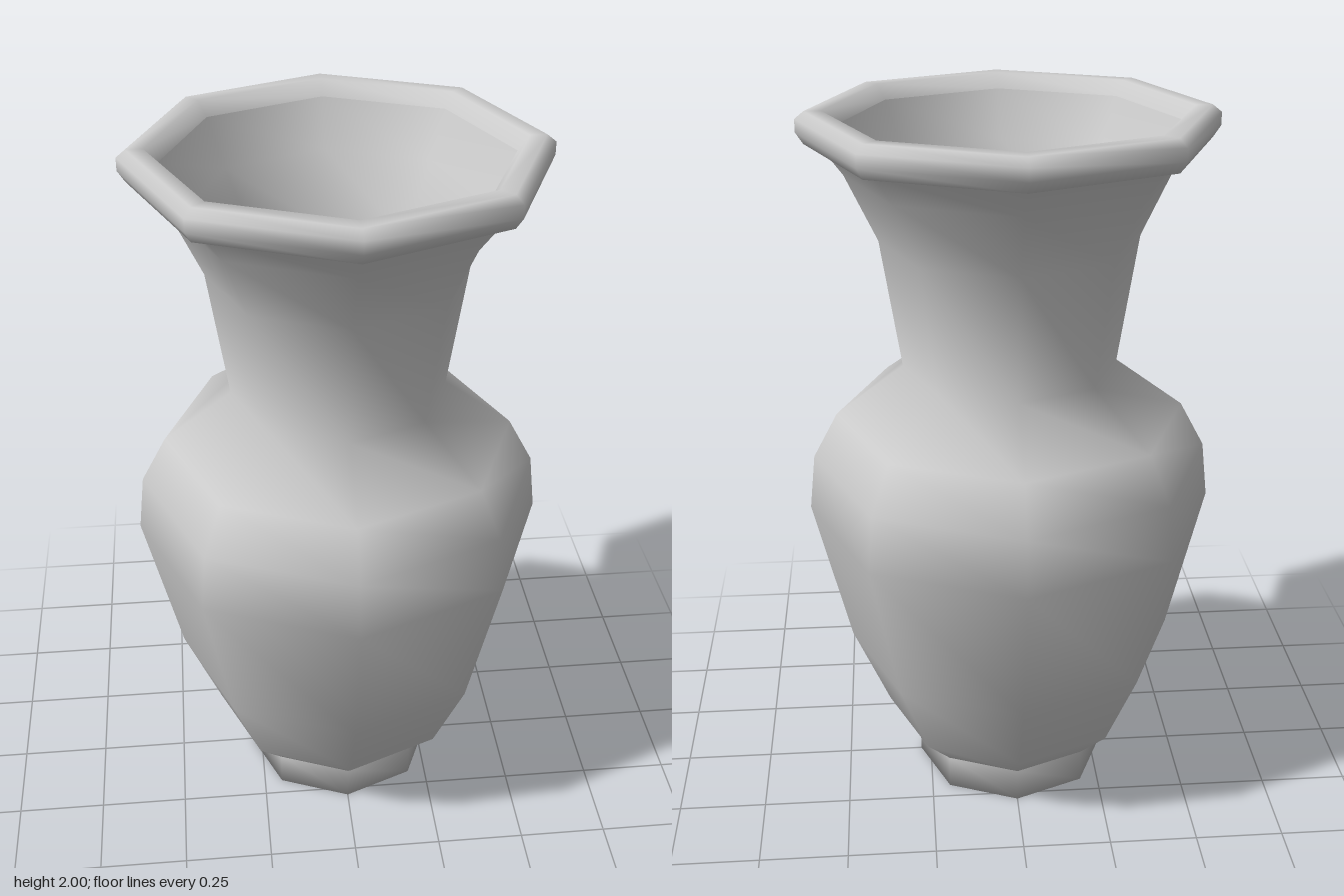
import * as THREE from 'three';

const SIDES = 8;

export function createModel() {
  const group = new THREE.Group();
  group.name = 'vase';
  const clay = new THREE.MeshStandardMaterial({ color: 0xcccccc });
  clay.name = 'grey clay';

  // Revolves a [radius, height] profile into an eight-sided, smoothly shaded part
  const turn = (name, profile) => {
    const points = profile.map(([r, y]) => new THREE.Vector2(r, y));
    const mesh = new THREE.Mesh(new THREE.LatheGeometry(points, SIDES), clay);
    mesh.name = name;
    group.add(mesh);
  };

  // Foot with closed underside
  turn('foot', [[0, 0], [0.28, 0], [0.28, 0.1]]);

  // Outer wall: belly, shoulder and flared neck
  turn('bodyAndNeck', [
    [0.28, 0.1], [0.37, 0.19], [0.475, 0.43], [0.578, 0.86], [0.56, 1.02],
    [0.49, 1.15], [0.3, 1.29], [0.355, 1.65], [0.44, 1.83], [0.5, 1.91],
  ]);

  // Rounded lip
  turn('lip', [
    [0.5, 1.91], [0.54, 1.915], [0.56, 1.945], [0.56, 1.98],
    [0.535, 2], [0.49, 2], [0.46, 1.96],
  ]);

  // Inner wall, from the lip down to the floor
  turn('interior', [
    [0.46, 1.96], [0.4, 1.83], [0.29, 1.64], [0.24, 1.29], [0.43, 1.13], [0.51, 1],
    [0.52, 0.86], [0.42, 0.45], [0.32, 0.22], [0.22, 0.12], [0, 0.12],
  ]);

  return group;
}
